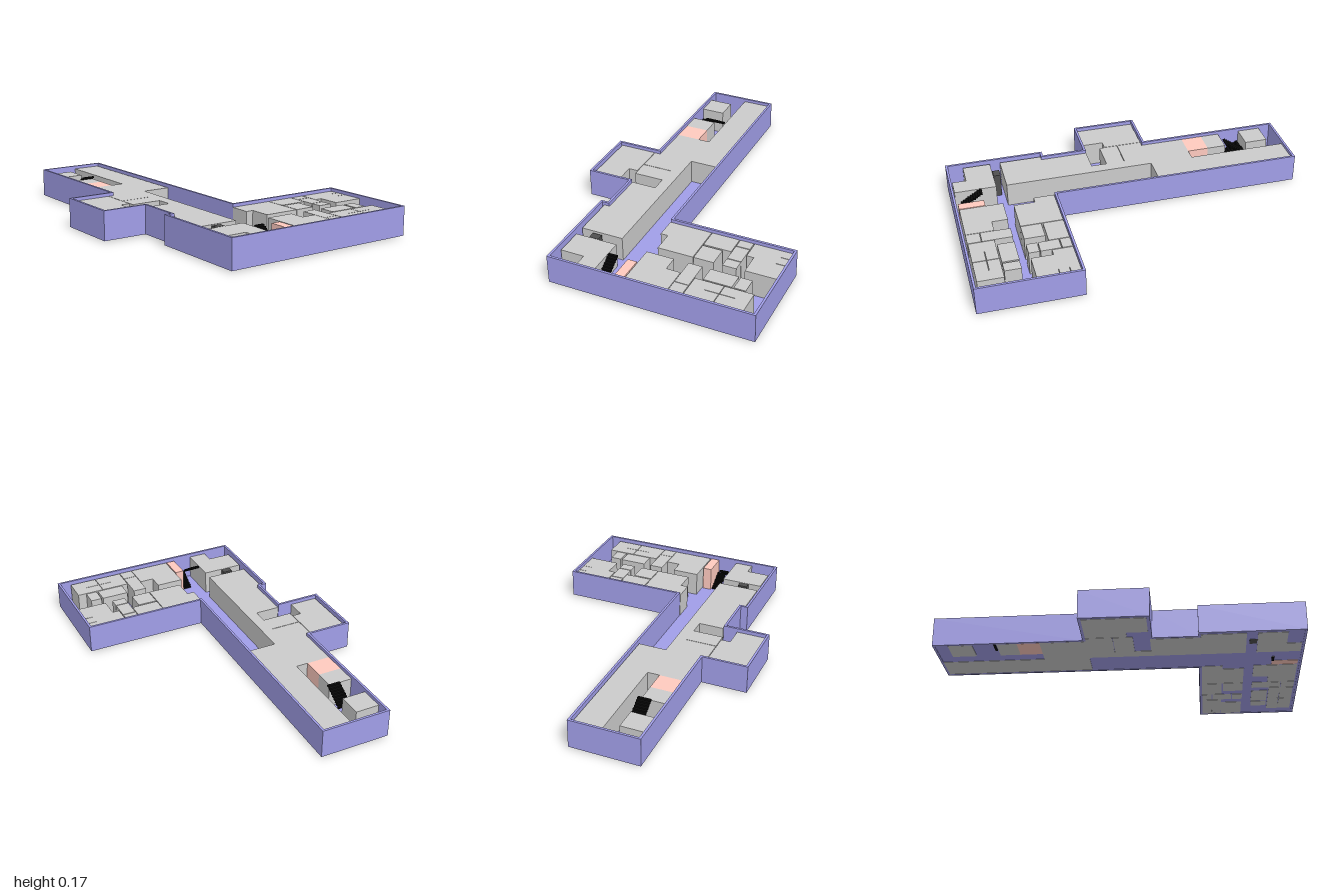
import * as THREE from 'three';

const BASE = 0.005, WALL_TOP = 0.168, ROOM_TOP = 0.15, FLOOR_BASE = 0.007, FLOOR_TOP = 0.01;

const paint = (color) => new THREE.MeshStandardMaterial({ color, flatShading: true });
const purple = paint(0xa19ee8), grey = paint(0xcccccc), salmon = paint(0xffcabf);
const black = paint(0x0a0a0a), dark = paint(0x505050);

// box given by its extents on plan and in height
function block(name, [x0, x1, z0, z1], y0, y1, material) {
  const mesh = new THREE.Mesh(new THREE.BoxGeometry(x1 - x0, y1 - y0, z1 - z0), material);
  mesh.position.set((x0 + x1) / 2, (y0 + y1) / 2, (z0 + z1) / 2);
  mesh.name = name;
  return mesh;
}

// moves every edge of a right-angled outline inward by d
function inset(points, d) {
  const n = points.length;
  const normal = (a, b) => [-Math.sign(b[1] - a[1]) * d, Math.sign(b[0] - a[0]) * d];
  return points.map((p, i) => {
    const a = normal(points[(i + n - 1) % n], p), b = normal(p, points[(i + 1) % n]);
    return [p[0] + a[0] + b[0], p[1] + a[1] + b[1]];
  });
}

// plan outline (x, z) raised between two heights; the hole winds the other way
function slab(name, outline, hole, y0, y1) {
  const vec = (pts) => pts.map(([x, z]) => new THREE.Vector2(x, -z));
  const shape = new THREE.Shape(vec(outline));
  if (hole) shape.holes.push(new THREE.Path(vec(hole).reverse()));
  const geometry = new THREE.ExtrudeGeometry(shape, { depth: y1 - y0, bevelEnabled: false });
  geometry.rotateX(-Math.PI / 2).translate(0, y0, 0);
  const mesh = new THREE.Mesh(geometry, purple);
  mesh.name = name;
  return mesh;
}

// two flights side by side: out on the first lane, back on the second
function staircase(name, xStart, xEnd, laneA, laneB, base) {
  const group = new THREE.Group();
  group.name = name;
  const count = 9, run = (xEnd - xStart) / count, rise = 0.155 / (2 * count);
  for (let i = 0; i < 2 * count; i++) {
    const up = i < count;
    const k = up ? i : 2 * count - 1 - i;
    const xs = [xStart + k * run, xStart + (k + 1) * run].sort((a, b) => a - b);
    group.add(block('step', [...xs, ...(up ? laneA : laneB)], base + i * rise, base + (i + 1.1) * rise, black));
  }
  return group;
}

export function createModel() {
  const model = new THREE.Group();
  model.name = 'buildingFloor';

  // outer walls and floor plate
  const outline = [
    [-1, 0.023], [0.43, 0.023], [0.43, -0.68], [1, -0.68], [1, 0.468], [0.43, 0.468],
    [0.43, 0.426], [0.186, 0.426], [0.186, 0.68], [-0.186, 0.68], [-0.186, 0.42], [-1, 0.42],
  ];
  const inner = inset(outline, 0.013);
  model.add(slab('outerWall', outline, inner, BASE, WALL_TOP));
  model.add(slab('floor', inner, null, FLOOR_BASE, FLOOR_TOP));

  // rooms as [x0, x1, z0, z1], grouped by wing; narrow gaps stand for partitions
  const wings = {
    longWingRooms: [
      [-0.987, -0.17, 0.042, 0.202], [-0.918, -0.785, 0.27, 0.406], [-0.653, -0.543, 0.27, 0.406],
      [-0.42, -0.17, 0.202, 0.406], [-0.17, 0.083, 0.202, 0.267],
      [-0.17, -0.026, 0.267, 0.44], [-0.023, 0.083, 0.267, 0.44],
      [0.083, 0.173, 0.202, 0.267], [0.173, 0.443, 0.202, 0.41], [0.443, 0.685, 0.202, 0.442],
    ],
    annexRooms: [[-0.17, 0.052, 0.443, 0.496], [-0.17, 0.167, 0.496, 0.66]],
    crossWingEastRooms: [
      [0.737, 0.827, -0.557, -0.493], [0.735, 0.827, -0.483, -0.328],
      [0.834, 0.975, -0.605, -0.53], [0.834, 0.899, -0.53, -0.449], [0.902, 0.975, -0.53, -0.449],
      [0.834, 0.899, -0.446, -0.37], [0.902, 0.975, -0.446, -0.37], [0.834, 0.975, -0.37, -0.287],
      [0.734, 0.899, -0.283, -0.206], [0.902, 0.977, -0.283, -0.206],
      [0.822, 0.977, -0.203, 0.032], [0.734, 0.822, -0.123, 0.032],
      [0.744, 0.902, 0.204, 0.442], [0.902, 0.981, 0.204, 0.308],
    ],
    crossWingWestRooms: [
      [0.445, 0.499, -0.666, -0.612], [0.502, 0.557, -0.666, -0.612], [0.56, 0.678, -0.666, -0.612],
      [0.445, 0.678, -0.612, -0.49], [0.445, 0.558, -0.49, -0.45],
      [0.445, 0.5, -0.445, -0.368], [0.505, 0.617, -0.445, -0.368], [0.622, 0.681, -0.445, -0.368],
      [0.445, 0.558, -0.364, -0.208], [0.567, 0.681, -0.32, -0.208],
      [0.445, 0.681, -0.204, -0.004], [0.445, 0.562, -0.004, 0.038],
    ],
  };
  for (const [name, rooms] of Object.entries(wings)) {
    const wing = new THREE.Group();
    wing.name = name;
    for (const plan of rooms) wing.add(block('room', plan, BASE, ROOM_TOP, grey));
    model.add(wing);
  }

  // coloured rooms and the lift shaft
  model.add(block('washroomLeft', [-0.543, -0.42, 0.27, 0.406], BASE, ROOM_TOP, salmon));
  model.add(block('washroomRight', [0.832, 0.977, 0.038, 0.09], BASE, ROOM_TOP, salmon));
  model.add(block('liftShaft', [0.702, 0.742, 0.313, 0.367], BASE, ROOM_TOP, dark));

  // stairs that turn back on themselves
  model.add(staircase('stairLongWing', -0.657, -0.78, [0.328, 0.404], [0.253, 0.328], 0.005));
  model.add(staircase('stairCrossWing', 0.83, 0.952, [0.095, 0.147], [0.147, 0.2], 0));

  return model;
}
